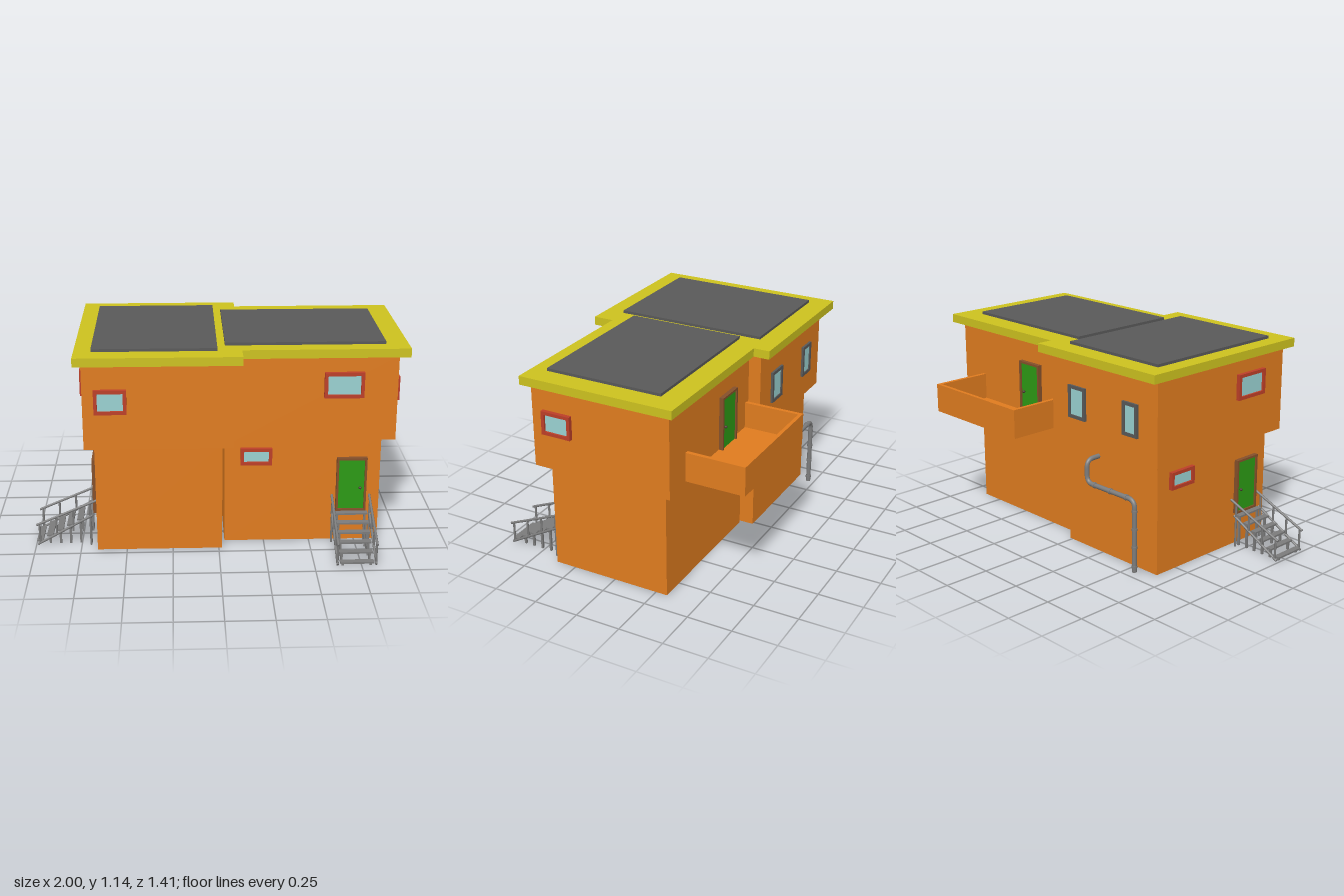
import * as THREE from 'three';

const mat = (color, side = THREE.FrontSide) => new THREE.MeshStandardMaterial({ color, side });
const orange = mat(0xe07c1f), orangeOpen = mat(0xe07c1f, THREE.DoubleSide);
const yellow = mat(0xcdc21f), dark = mat(0x595959), metal = mat(0x7c7c7c);
const red = mat(0xbd3f28), brown = mat(0x85502a), green = mat(0x2c9a14);
const glass = mat(0x9ad2d2), knobMat = mat(0x4a3a30);

function add(parent, name, geometry, material, x = 0, y = 0, z = 0) {
  const mesh = new THREE.Mesh(geometry, material);
  mesh.name = name;
  mesh.position.set(x, y, z);
  parent.add(mesh);
  return mesh;
}

// box given by its limits
function span(parent, name, material, x0, x1, y0, y1, z0, z1) {
  return add(parent, name, new THREE.BoxGeometry(x1 - x0, y1 - y0, z1 - z0), material,
    (x0 + x1) / 2, (y0 + y1) / 2, (z0 + z1) / 2);
}

// four walls without floor or ceiling
function walls(parent, name, ...limits) {
  const mesh = span(parent, name, orangeOpen, ...limits);
  const index = Array.from(mesh.geometry.index.array);
  index.splice(12, 12);
  mesh.geometry.setIndex(index);
  mesh.geometry.clearGroups();
}

// round bar between two points
function bar(parent, name, a, b, r, material = metal, sides = 8) {
  const p = new THREE.Vector3(...a), q = new THREE.Vector3(...b), d = q.clone().sub(p);
  const mesh = add(parent, name, new THREE.CylinderGeometry(r, r, d.length(), sides), material);
  mesh.position.copy(p).add(q).multiplyScalar(0.5);
  mesh.quaternion.setFromUnitVectors(new THREE.Vector3(0, 1, 0), d.normalize());
}

function rect(w, h, Type = THREE.Shape) {
  const s = new Type();
  s.moveTo(-w / 2, -h / 2);
  s.lineTo(w / 2, -h / 2);
  s.lineTo(w / 2, h / 2);
  s.lineTo(-w / 2, h / 2);
  s.closePath();
  return s;
}

// group on a wall; its local +z points out of the wall
function onWall(parent, name, x, y, z, turn) {
  const g = new THREE.Group();
  g.name = name;
  g.position.set(x, y, z);
  g.rotation.y = turn;
  parent.add(g);
  return g;
}

function frame(parent, w, h, border, front, material) {
  const shape = rect(w, h);
  shape.holes.push(rect(w - 2 * border, h - 2 * border, THREE.Path));
  const depth = front * 2;
  add(parent, 'frame', new THREE.ExtrudeGeometry(shape, { depth, bevelEnabled: false }), material, 0, 0, -front);
}

function windowUnit(parent, x, y, z, turn, w, h, material = red, front = 0.022) {
  const g = onWall(parent, 'window', x, y, z, turn);
  frame(g, w, h, 0.018, front, material);
  add(g, 'pane', new THREE.BoxGeometry(w - 0.036, h - 0.036, front), glass);
}

function door(parent, x, y, z, turn, knobSide) {
  const g = onWall(parent, 'door', x, y, z, turn);
  frame(g, 0.165, 0.31, 0.012, 0.024, brown);
  add(g, 'doorLeaf', new THREE.BoxGeometry(0.141, 0.286, 0.03), green);
  for (const s of [-1, 1])
    add(g, 'knob', new THREE.SphereGeometry(0.008, 12, 8), knobMat, knobSide * 0.048, -0.02, s * 0.022);
}

// stairs running outward along local +z
function stairs(parent, x, z, turn) {
  const g = onWall(parent, 'stairs', x, 0, z, turn);
  for (let i = 0; i < 6; i++) {
    const sz = 0.32 - i * 0.056, sy = 0.02 + i * 0.031;
    add(g, 'step', new THREE.BoxGeometry(0.18, 0.01, 0.034), metal, 0, sy, sz);
    for (const s of [-1, 1])
      add(g, 'stepLeg', new THREE.BoxGeometry(0.012, sy, 0.012), metal, s * 0.075, sy / 2, sz);
  }
  for (const s of [-1, 1]) {
    const sx = s * 0.103;
    bar(g, 'handrail', [sx, 0.265, 0], [sx, 0.122, 0.335], 0.007);
    bar(g, 'stringer', [sx, 0.178, 0.025], [sx, 0.008, 0.33], 0.007);
    for (let i = 0; i < 4; i++) {
      const pz = 0.318 - i * 0.093, top = 0.265 - pz * 0.427;
      bar(g, 'railPost', [sx, i === 3 ? 0 : Math.max(0, 0.178 - (pz - 0.025) * 0.557), pz], [sx, top, pz], 0.006);
    }
  }
}

export function createModel() {
  const house = new THREE.Group();
  house.name = 'house';

  // storeys
  walls(house, 'lowerRightWalls', -0.66, 0.018, 0, 0.612, -0.39, 0.455);
  walls(house, 'lowerLeftWalls', 0.034, 0.88, 0, 0.612, -0.315, 0.365);
  span(house, 'upperRightStorey', orange, -0.71, 0.08, 0.61, 1.08, -0.445, 0.52);
  span(house, 'upperLeftStorey', orange, 0.08, 0.945, 0.61, 1.08, -0.375, 0.42);

  // roofs with dark panels
  span(house, 'rightRoof', yellow, -0.75, 0.12, 1.078, 1.125, -0.51, 0.565);
  span(house, 'leftRoof', yellow, 0.12, 1.0, 1.078, 1.125, -0.42, 0.45);
  span(house, 'rightRoofPanel', dark, -0.66, -0.008, 1.12, 1.14, -0.395, 0.455);
  span(house, 'leftRoofPanel', dark, 0.034, 0.88, 1.12, 1.14, -0.295, 0.362);

  // balcony
  const balcony = new THREE.Group();
  balcony.name = 'balcony';
  house.add(balcony);
  span(balcony, 'balconyFloor', orange, 0.095, 0.785, 0.64, 0.655, -0.705, -0.37);
  span(balcony, 'balconyParapet', orange, 0.095, 0.785, 0.64, 0.8, -0.705, -0.685);
  span(balcony, 'balconyParapet', orange, 0.095, 0.117, 0.64, 0.8, -0.69, -0.37);
  span(balcony, 'balconyParapet', orange, 0.763, 0.785, 0.64, 0.8, -0.69, -0.37);

  // windows
  const back = Math.PI, left = Math.PI / 2, right = -Math.PI / 2;
  windowUnit(house, -0.565, 0.877, 0.52, 0, 0.17, 0.132);
  windowUnit(house, 0.66, 0.923, 0.42, 0, 0.21, 0.14);
  windowUnit(house, 0.205, 0.503, 0.365, 0, 0.17, 0.096);
  windowUnit(house, 0.945, 0.875, 0.27, left, 0.17, 0.13);
  windowUnit(house, -0.71, 0.923, 0.25, right, 0.21, 0.14);
  windowUnit(house, -0.66, 0.503, -0.22, right, 0.17, 0.096);
  windowUnit(house, -0.12, 0.835, -0.445, back, 0.13, 0.18, dark, 0.013);
  windowUnit(house, -0.52, 0.835, -0.445, back, 0.11, 0.18, dark, 0.013);

  // doors and stairs
  door(house, 0.725, 0.335, 0.365, 0, 1);
  door(house, -0.66, 0.335, 0.29, right, -1);
  door(house, 0.34, 0.797, -0.375, back, -1);
  stairs(house, 0.725, 0.365, 0);
  stairs(house, -0.66, 0.29, right);

  // drainpipe with rounded elbows
  const pts = [[-0.22, 0.548, -0.38], [-0.22, 0.548, -0.475], [-0.22, 0.42, -0.475],
    [-0.58, 0.42, -0.475], [-0.58, 0.02, -0.475]].map(p => new THREE.Vector3(...p));
  const path = new THREE.CurvePath();
  let from = pts[0];
  for (let i = 1; i < pts.length - 1; i++) {
    const r = 0.045, c = pts[i];
    const a = c.clone().add(pts[i - 1].clone().sub(c).setLength(r));
    const b = c.clone().add(pts[i + 1].clone().sub(c).setLength(r));
    path.add(new THREE.LineCurve3(from, a));
    path.add(new THREE.QuadraticBezierCurve3(a, c, b));
    from = b;
  }
  path.add(new THREE.LineCurve3(from, pts[4]));
  add(house, 'drainpipe', new THREE.TubeGeometry(path, 120, 0.013, 12), mat(0x7c7c7c, THREE.DoubleSide));
  for (const y of [0.05, 0.16, 0.26, 0.36])
    bar(house, 'pipeCollar', [-0.58, y - 0.006, -0.475], [-0.58, y + 0.006, -0.475], 0.016, metal, 12);
  for (const x of [-0.28, -0.4, -0.52])
    bar(house, 'pipeCollar', [x - 0.006, 0.42, -0.475], [x + 0.006, 0.42, -0.475], 0.016, metal, 12);

  return house;
}
